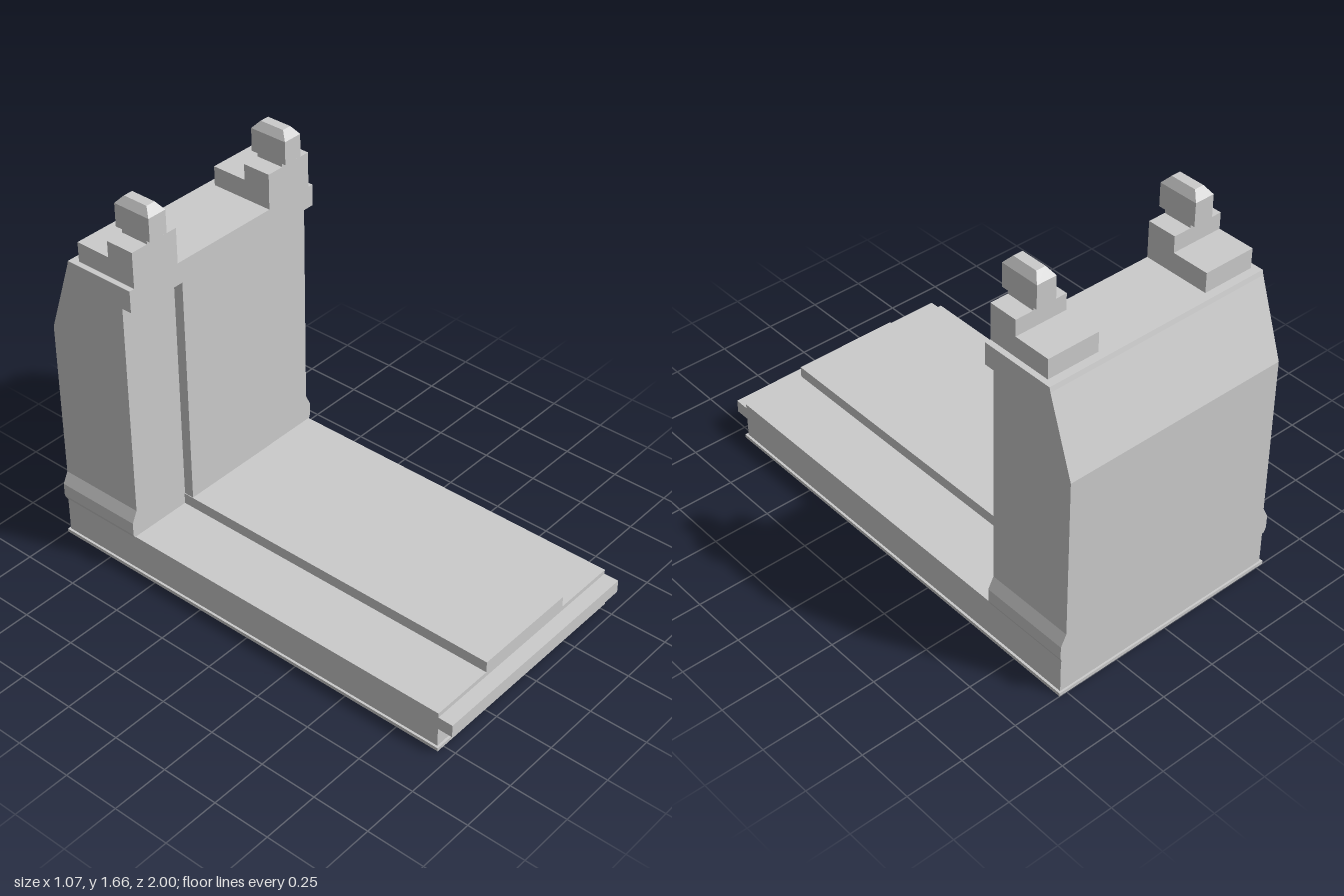
import * as THREE from 'three';

const material = new THREE.MeshStandardMaterial({ color: 0xcccccc, flatShading: true });

function add(parent, name, geometry) {
  const mesh = new THREE.Mesh(geometry, material);
  mesh.name = name;
  parent.add(mesh);
  return mesh;
}

// Box given by its extents on each axis
function block(parent, name, [x0, x1], [y0, y1], [z0, z1]) {
  const g = new THREE.BoxGeometry(x1 - x0, y1 - y0, z1 - z0);
  g.translate((x0 + x1) / 2, (y0 + y1) / 2, (z0 + z1) / 2);
  return add(parent, name, g);
}

function extrude(points, depth) {
  const shape = new THREE.Shape(points.map(([a, b]) => new THREE.Vector2(a, b)));
  return new THREE.ExtrudeGeometry(shape, { depth, bevelEnabled: false });
}

// Box whose top face is drawn in to a smaller rectangle
function hippedBlock(w, h, d, topW, topD) {
  const g = new THREE.BoxGeometry(w, h, d);
  const p = g.attributes.position;
  for (let i = 0; i < p.count; i++) {
    if (p.getY(i) > 0) p.setXYZ(i, Math.sign(p.getX(i)) * topW / 2, h / 2, Math.sign(p.getZ(i)) * topD / 2);
  }
  g.computeVertexNormals();
  return g;
}

export function createModel() {
  const model = new THREE.Group();
  model.name = 'gateTower';

  // Long base with a bottom rim, front lip and raised roadway
  const base = new THREE.Group();
  base.name = 'base';
  model.add(base);
  block(base, 'bottomRim', [-0.535, 0.535], [0, 0.015], [-1, 0.945]);
  block(base, 'baseSlab', [-0.525, 0.525], [0.015, 0.177], [-0.992, 0.935]);
  block(base, 'frontLip', [-0.525, 0.525], [0.1, 0.157], [0.93, 1]);
  block(base, 'roadway', [-0.24, 0.24], [0.17, 0.226], [-0.61, 0.935]);

  // Tower body: side profile (z, y) with sloping back and overhanging head
  const tower = new THREE.Group();
  tower.name = 'tower';
  model.add(tower);
  const body = extrude([
    [0.605, 0.17], [1, 0.19], [1, 1.01], [0.89, 1.335], [0.885, 1.355],
    [0.56, 1.355], [0.56, 1.26], [0.605, 1.26],
  ], 1.02);
  body.rotateY(Math.PI / 2);
  body.translate(-0.51, 0, 0);
  add(tower, 'towerBody', body);
  block(tower, 'frontPanel', [-0.237, 0.237], [0.177, 1.26], [-0.61, -0.56]);

  // Flared foot on both flanks
  const foot = extrude([
    [-0.525, 0.17], [0.525, 0.17], [0.535, 0.192], [0.535, 0.25], [0.51, 0.3],
    [-0.51, 0.3], [-0.535, 0.25], [-0.535, 0.192],
  ], 0.395);
  foot.translate(0, 0, -1);
  add(tower, 'flaredFoot', foot);

  // Stepped pinnacle on each side of the head
  for (const side of [-1, 1]) {
    const pinnacle = new THREE.Group();
    pinnacle.name = side > 0 ? 'leftPinnacle' : 'rightPinnacle';
    pinnacle.position.x = side * 0.371;
    model.add(pinnacle);
    block(pinnacle, 'lowerStep', [-0.115, 0.115], [1.35, 1.44], [-0.85, -0.56]);
    block(pinnacle, 'upperStep', [-0.115, 0.115], [1.44, 1.51], [-0.688, -0.56]);
    block(pinnacle, 'neck', [-0.037, 0.037], [1.51, 1.53], [-0.688, -0.56]);
    block(pinnacle, 'capBlock', [-0.044, 0.044], [1.53, 1.63], [-0.712, -0.537]);
    add(pinnacle, 'capRoof', hippedBlock(0.088, 0.033, 0.175, 0.042, 0.115))
      .position.set(0, 1.6465, -0.6245);
  }
  return model;
}
